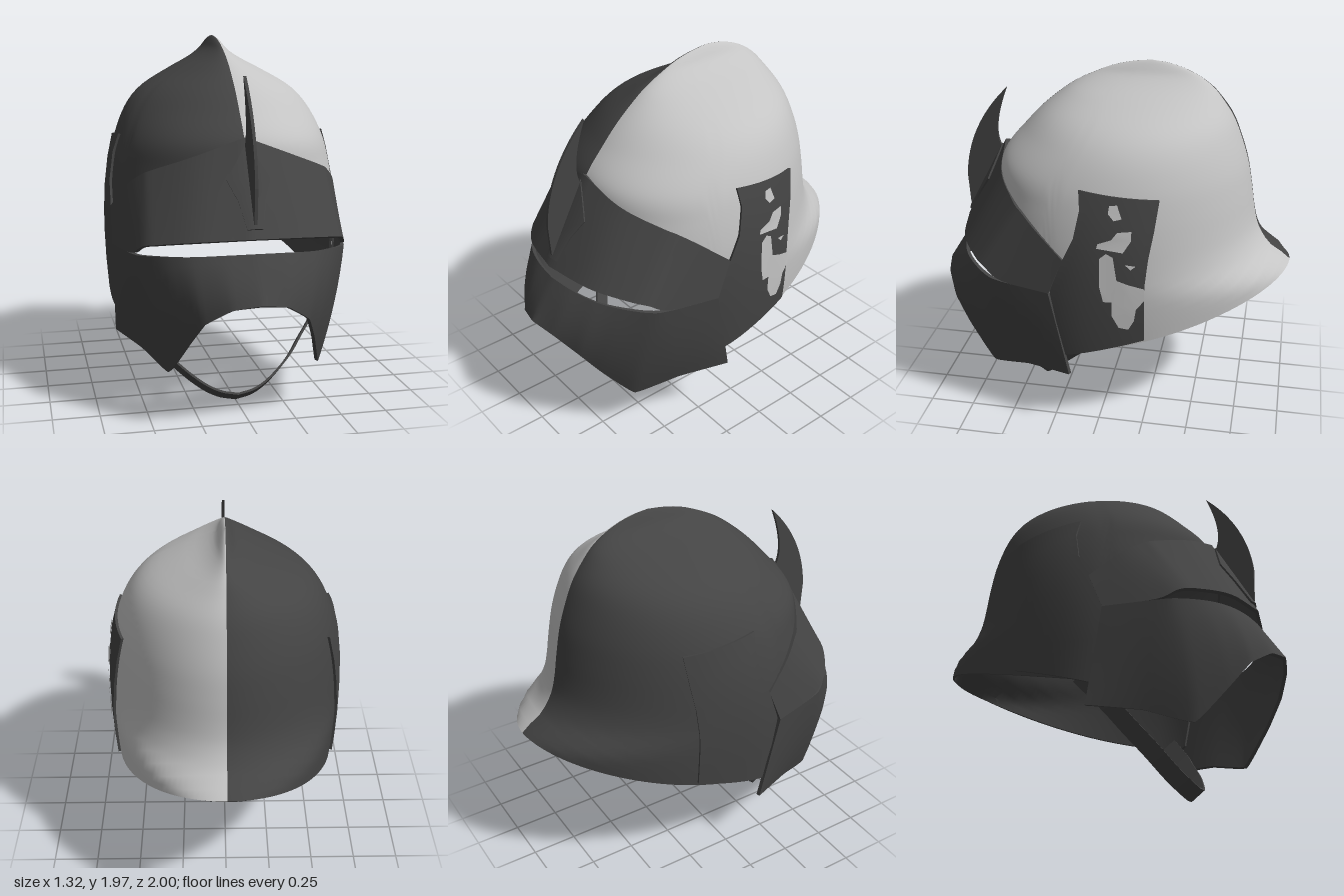
import * as THREE from 'three';
import { toCreasedNormals } from 'three/addons/utils/BufferGeometryUtils.js';

const V = (x, y, z) => new THREE.Vector3(x, y, z);

// Dome levels: height, back z, front z, half width, z of the widest point
const LEVELS = [
  [0.40, -1.00, 0.64, 0.60, 0.03], [0.65, -1.00, 0.65, 0.627, 0.03], [0.87, -1.00, 0.66, 0.638, 0.03],
  [0.95, -0.89, 0.66, 0.64, 0.02], [1.05, -0.82, 0.66, 0.638, 0.01], [1.15, -0.79, 0.66, 0.632, 0],
  [1.30, -0.765, 0.635, 0.612, -0.02], [1.45, -0.735, 0.61, 0.575, -0.05], [1.60, -0.685, 0.49, 0.505, -0.09],
  [1.70, -0.64, 0.395, 0.41, -0.12], [1.80, -0.57, 0.275, 0.235, -0.15], [1.85, -0.525, 0.20, 0.135, -0.16],
  [1.90, -0.455, 0.10, 0.06, -0.18], [1.94, -0.37, 0, 0.03, -0.19], [1.965, -0.28, -0.11, 0.012, -0.2],
  [1.975, -0.2, -0.2, 0, -0.2],
];
const TOP = 1.975;

// Smooth interpolation between the dome levels
function level(y) {
  const n = LEVELS.length;
  let i = 0;
  while (i < n - 2 && y > LEVELS[i + 1][0]) i++;
  const a = LEVELS[i], b = LEVELS[i + 1], h = b[0] - a[0];
  const p = LEVELS[Math.max(i - 1, 0)], q = LEVELS[Math.min(i + 2, n - 1)];
  const t = THREE.MathUtils.clamp((y - a[0]) / h, 0, 1), t2 = t * t, t3 = t2 * t;
  const [back, front, width, mid] = [1, 2, 3, 4].map((k) => {
    const m0 = (b[k] - p[k]) / (b[0] - p[0]), m1 = (q[k] - a[k]) / (q[0] - a[0]);
    return (2 * t3 - 3 * t2 + 1) * a[k] + (t3 - 2 * t2 + t) * h * m0 + (3 * t2 - 2 * t3) * b[k] + (t3 - t2) * h * m1;
  });
  return { back, front, width: Math.max(width, 0), mid };
}

// Roundness of a level: full at the lower front, pointed at the ridge
const roundness = (y, c) => (c > 0 ? THREE.MathUtils.lerp(0.9, 1.1, THREE.MathUtils.smoothstep(y, 1.35, 1.65)) : 1.1);

// Point on the dome at an angle from the front (0) to the back (PI)
function domePoint(angle, y) {
  const l = level(y), c = Math.cos(angle);
  const reach = c > 0 ? l.front - l.mid : l.mid - l.back;
  return V(l.width * Math.pow(Math.abs(Math.sin(angle)), roundness(y, c)), y, l.mid + reach * c);
}

// Half width of the dome at a given height and depth
function domeX(y, z) {
  const l = level(y);
  const c = (z - l.mid) / (z > l.mid ? l.front - l.mid : l.mid - l.back);
  return l.width * Math.pow(Math.max(0, 1 - c * c), roundness(y, c) / 2);
}

// Lower edge: slanted rim, raised behind the brow over the face
function rimHeight(angle) {
  let y = 0.7;
  for (let k = 0; k < 15; k++) {
    const u = domePoint(angle, y).z + 1;
    y = 0.87 - 0.44 * u + 0.1 * u * u;
  }
  return THREE.MathUtils.lerp(1.42 - 0.25 * angle, y, THREE.MathUtils.smoothstep(angle, 1.1, 1.3));
}

function indexed(positions, index) {
  const g = new THREE.BufferGeometry();
  g.setAttribute('position', new THREE.Float32BufferAttribute(positions, 3));
  g.setIndex(index);
  g.computeVertexNormals();
  return g;
}

// One half of the dome: its outer skin, and its lining with the rim edge
function halfDome(side) {
  const pos = [], idx = [], inner = [], innerIdx = [], N = 64, M = 44, S = (N + 1) * (M + 1);
  const face = (list, a, b, c) => (side > 0 ? list.push(a, b, c) : list.push(a, c, b));
  for (let i = 0; i <= N; i++) {
    const angle = Math.PI * i / N, rim = rimHeight(angle);
    for (let j = 0; j <= M; j++) {
      const p = domePoint(angle, TOP - (TOP - rim) * Math.pow(j / M, 1.6));
      pos.push(side * p.x, p.y, p.z);
      const a = i * (M + 1) + j, d = a + M + 1;
      if (i === N) continue;
      if (j === M) {
        face(innerIdx, a + S, a, d);
        face(innerIdx, a + S, d, d + S);
        continue;
      }
      face(idx, a, a + 1, d);
      face(idx, a + 1, d + 1, d);
      face(innerIdx, a, d, a + 1);
      face(innerIdx, a + 1, d, d + 1);
    }
  }
  const skin = indexed(pos, idx), n = skin.attributes.normal;
  for (let k = 0; k < S; k++) {
    const onRidge = k <= M || k >= S - M - 1;
    const x = onRidge ? 0 : Math.max(0, side * (pos[3 * k] - 0.014 * n.getX(k)));
    inner.push(side * x, pos[3 * k + 1] - 0.014 * n.getY(k), pos[3 * k + 2] - 0.014 * n.getZ(k));
  }
  const lining = toCreasedNormals(indexed([...inner, ...pos], innerIdx), 0.7);
  return { skin, lining };
}

// Solid curved plate from a grid of points (rows run down the outer face)
function plate(grid, thickness) {
  const R = grid.length, C = grid[0].length, pos = [], idx = [], id = (r, c) => r * C + c;
  for (const row of grid) for (const p of row) pos.push(p.x, p.y, p.z);
  for (let r = 0; r < R - 1; r++) for (let c = 0; c < C - 1; c++) {
    const a = id(r, c), b = id(r + 1, c), d = id(r, c + 1), e = id(r + 1, c + 1);
    idx.push(a, b, d, b, e, d);
  }
  const n = indexed(pos, idx).attributes.normal, S = R * C, faces = idx.length;
  for (let i = 0; i < S; i++) {
    pos.push(pos[3 * i] - n.getX(i) * thickness, pos[3 * i + 1] - n.getY(i) * thickness, pos[3 * i + 2] - n.getZ(i) * thickness);
  }
  for (let i = 0; i < faces; i += 3) idx.push(idx[i] + S, idx[i + 2] + S, idx[i + 1] + S);
  const loop = [];
  for (let r = 0; r < R - 1; r++) loop.push(id(r, 0));
  for (let c = 0; c < C - 1; c++) loop.push(id(R - 1, c));
  for (let r = R - 1; r > 0; r--) loop.push(id(r, C - 1));
  for (let c = C - 1; c > 0; c--) loop.push(id(0, c));
  loop.forEach((p, i) => {
    const q = loop[(i + 1) % loop.length];
    idx.push(q, p, p + S, q, p + S, q + S);
  });
  return toCreasedNormals(indexed(pos, idx), 0.7);
}

// Loft between two edges given from the centre line to the side, mirrored;
// low tension keeps the lower edge straight, bulge swells the sides outward
function mirroredLoft(top, bottom, rows, tension = 0.5, bulge = 0) {
  const edge = (half, k) => new THREE.CatmullRomCurve3(half.map((p) => V(...p)), false, 'catmullrom', k).getPoints((half.length - 1) * 5);
  const a = edge(top, 0.5), b = edge(bottom, tension);
  return Array.from({ length: rows + 1 }, (_, r) => {
    const t = r / rows;
    const half = a.map((p, i) => {
      const q = p.clone().lerp(b[i], t), u = i / (a.length - 1);
      return q.addScaledVector(V(q.x, 0, q.z).normalize(), bulge * 16 * t * (1 - t) * u * (1 - u));
    });
    return [...half.slice(1).reverse().map((p) => V(-p.x, p.y, p.z)), ...half];
  });
}

export function createModel() {
  const group = new THREE.Group();
  const dark = new THREE.MeshStandardMaterial({ color: 0x444444 });
  dark.name = 'darkGrey';
  const light = new THREE.MeshStandardMaterial({ color: 0xc4c4c4 });
  light.name = 'lightGrey';
  const add = (name, geometry, material) => {
    const m = new THREE.Mesh(geometry, material);
    m.name = name;
    group.add(m);
    return m;
  };

  // Two-tone dome with a dark lining
  const left = halfDome(1), right = halfDome(-1);
  add('domeLeft', left.skin, light);
  add('domeRight', right.skin, dark);
  add('liningLeft', left.lining, dark);
  add('liningRight', right.lining, dark);

  // Brow visor above the eye slit
  add('browVisor', plate(mirroredLoft(
    [[0, 1.475, 0.625], [0.25, 1.38, 0.583], [0.45, 1.3, 0.465], [0.51, 1.265, 0.405], [0.575, 1.195, 0.31], [0.635, 1.07, 0.16]],
    [[0, 1.0, 0.87], [0.27, 0.985, 0.81], [0.45, 0.958, 0.7], [0.53, 0.935, 0.62], [0.575, 0.882, 0.51], [0.64, 0.87, 0.24]], 6), 0.02), dark);

  // Face mask below the eye slit
  add('faceMask', plate(mirroredLoft(
    [[0, 0.925, 0.86], [0.15, 0.92, 0.84], [0.3, 0.91, 0.795], [0.42, 0.9, 0.72], [0.53, 0.885, 0.61], [0.575, 0.878, 0.51], [0.64, 0.87, 0.24]],
    [[0, 0.70, 1.0], [0.14, 0.675, 0.965], [0.27, 0.585, 0.89], [0.33, 0.455, 0.795], [0.405, 0.265, 0.63], [0.51, 0.33, 0.4], [0.62, 0.36, 0.14]],
    8, 0.15, 0.025), 0.02), dark);

  // Ear plates lying on the dome (depth, height of front and back edges)
  const front = [[0.08, 1.45], [0.07, 1.35], [0.10, 1.2], [0.16, 1.07], [0.23, 0.9], [0.24, 0.7], [0.16, 0.48]];
  const back = [[-0.33, 1.41], [-0.31, 1.25], [-0.285, 1.1], [-0.27, 0.95], [-0.27, 0.85], [-0.27, 0.72], [-0.27, 0.62]];
  const ear = (side) => front.map((f, r) => {
    const row = Array.from({ length: 13 }, (_, i) => {
      const z = THREE.MathUtils.lerp(f[0], back[r][0], i / 12), y = THREE.MathUtils.lerp(f[1], back[r][1], i / 12);
      return V(side * (domeX(y, z) + 0.015), y, z);
    });
    return side > 0 ? row : row.reverse();
  });
  add('earPlateLeft', plate(ear(1), 0.018), dark);
  add('earPlateRight', plate(ear(-1), 0.018), dark);

  // Irregular worn paint patches on the left ear plate
  const patches = [
    [[-0.085, 1.39], [-0.125, 1.395], [-0.15, 1.325], [-0.11, 1.315], [-0.08, 1.35]],
    [[-0.03, 1.19], [-0.1, 1.215], [-0.13, 1.255], [-0.2, 1.26], [-0.2, 1.21], [-0.16, 1.145], [-0.025, 1.165]],
    [[-0.17, 1.08], [-0.225, 1.07], [-0.2, 1.05]],
    [[-0.04, 1.11], [-0.075, 1.14], [-0.11, 1.12], [-0.13, 0.99], [-0.19, 0.965], [-0.27, 0.94], [-0.27, 0.87], [-0.23, 0.82],
      [-0.22, 0.75], [-0.19, 0.695], [-0.14, 0.705], [-0.105, 0.775], [-0.105, 0.86], [-0.06, 0.86], [-0.04, 0.95]],
  ];
  patches.forEach((pts, i) => {
    const g = new THREE.ShapeGeometry(new THREE.Shape(pts.map(([z, y]) => new THREE.Vector2(-z, y))));
    const p = g.attributes.position;
    for (let k = 0; k < p.count; k++) {
      const z = -p.getX(k), y = p.getY(k);
      p.setXYZ(k, domeX(y, z) + 0.023, y, z);
    }
    g.computeVertexNormals();
    add('paintPatch' + (i + 1), g, light);
  });

  // Kite-shaped mount folded over the brow (height, half width)
  const kite = [[0.5, 0.003], [0.315, 0.115], [0.2, 0.07], [0.05, 0.042]];
  const mount = add('crestMount', plate(kite.map(([y, w]) => [-w, 0, w].map((x) => V(x, y, 0.014 - 0.25 * Math.abs(x)))), 0.02), dark);
  mount.position.set(0, 1.0, 0.87);
  mount.rotation.x = -0.489;

  // Upright curved blade on the brow
  const blade = new THREE.Shape();
  blade.moveTo(-0.605, 1.78);
  blade.quadraticCurveTo(-0.84, 1.55, -0.862, 1.25);
  blade.lineTo(-0.852, 1.07);
  blade.lineTo(-0.82, 1.07);
  blade.lineTo(-0.64, 1.42);
  blade.quadraticCurveTo(-0.71, 1.52, -0.605, 1.78);
  const bladeGeometry = new THREE.ExtrudeGeometry(blade, { depth: 0.016, bevelEnabled: false, curveSegments: 16 });
  bladeGeometry.translate(0, 0, -0.008);
  bladeGeometry.rotateY(Math.PI / 2);
  add('crestBlade', bladeGeometry, dark);

  // Chin strap
  const strap = [[0, 0.03, 0.463], [0.1, 0.05, 0.45], [0.2, 0.1, 0.415], [0.32, 0.195, 0.355], [0.41, 0.29, 0.285], [0.5, 0.39, 0.215], [0.6, 0.53, 0.1]];
  const shifted = (s) => strap.map(([x, y, z]) => [x, y + 0.027 * s, z + 0.037 * s]);
  add('chinStrap', plate(mirroredLoft(shifted(1), shifted(-1), 1), 0.012), dark);

  return group;
}
